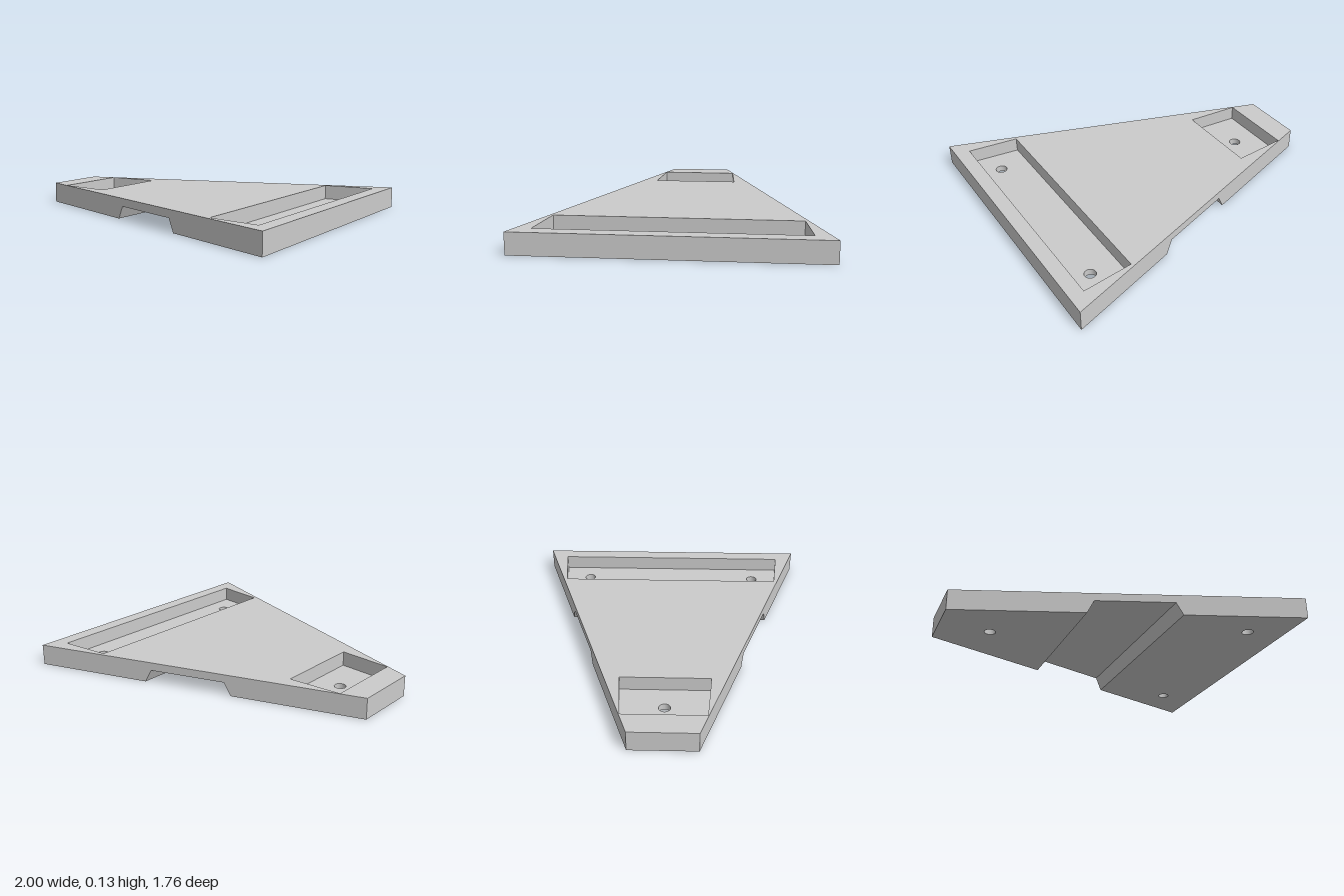
import * as THREE from 'three';

const TOP = 0.13, FLOOR = 0.04, HOLE_R = 0.035;
const half = x => 0.54 + 0.34 * x; // half width of the tapered plate at x

export function createModel() {
  const group = new THREE.Group();
  const material = new THREE.MeshStandardMaterial({ color: 0xcccccc, flatShading: true });

  const add = (name, geometry) => {
    const mesh = new THREE.Mesh(geometry, material);
    mesh.name = name;
    group.add(mesh);
  };

  // Band of quads between two rows of [x, y, z] points
  const strip = (name, a, b) => {
    const pos = [];
    for (let i = 0; i + 1 < a.length; i++) {
      pos.push(...a[i], ...a[i + 1], ...b[i + 1], ...a[i], ...b[i + 1], ...b[i]);
    }
    const g = new THREE.BufferGeometry();
    g.setAttribute('position', new THREE.Float32BufferAttribute(pos, 3));
    g.computeVertexNormals();
    add(name, g);
  };

  // Upright wall that faces into a closed outline of [x, z] points
  const innerWall = (name, outline, y0, y1) => {
    const loop = [...outline, outline[0]].reverse();
    strip(name, loop.map(([x, z]) => [x, y0, z]), loop.map(([x, z]) => [x, y1, z]));
  };

  // Level face with cut-outs, facing up or down
  const level = (name, outline, cuts, y, up) => {
    const vec = pts => pts.map(([x, z]) => new THREE.Vector2(x, -z));
    const shape = new THREE.Shape(vec(outline));
    shape.holes = cuts.map(c => new THREE.Path(vec(c)));
    const g = new THREE.ShapeGeometry(shape);
    g.rotateX(up ? -Math.PI / 2 : Math.PI / 2).translate(0, y, 0);
    add(name, g);
  };

  // Outlines run counterclockwise seen from above
  const taper = (x0, w0, x1, w1) => [[x0, w0], [x1, w1], [x1, -w1], [x0, -w0]];
  const plate = (x0, x1) => taper(x0, half(x0), x1, half(x1));
  const circle = (cx, cz) => Array.from({ length: 32 }, (_, i) => {
    const t = i / 32 * Math.PI * 2;
    return [cx + HOLE_R * Math.cos(t), cz - HOLE_R * Math.sin(t)];
  });

  const ends = [
    { name: 'narrow', pocket: taper(-0.85, 0.245, -0.52, 0.27), holes: [circle(-0.685, 0)], base: plate(-1, -0.23) },
    { name: 'wide', pocket: taper(0.595, 0.72, 0.91, 0.757), holes: [circle(0.775, -0.58), circle(0.775, 0.58)], base: plate(0.305, 1) },
  ];

  // Top face with the two pocket openings
  level('topFace', plate(-1, 1), ends.map(e => e.pocket), TOP, true);

  // Pockets, screw holes and feet at both ends
  for (const { name, pocket, holes, base } of ends) {
    innerWall(name + 'PocketWalls', pocket, FLOOR, TOP);
    level(name + 'PocketFloor', pocket, holes, FLOOR, true);
    level(name + 'FootUnderside', base, holes, 0, false);
    holes.forEach(h => innerWall(name + 'ScrewHole', h, 0, FLOOR));
  }

  // Long sides follow the underside profile with its sloped channel
  const profile = [[-1, 0], [-0.23, 0], [-0.19, 0.08], [0.265, 0.08], [0.305, 0], [1, 0]];
  const edge = (s, y) => profile.map(([x, py]) => [x, y ?? py, s * half(x)]);
  strip('frontSide', edge(1), edge(1, TOP));
  strip('backSide', edge(-1).reverse(), edge(-1, TOP).reverse());
  strip('channel', edge(-1).slice(1, 5), edge(1).slice(1, 5));

  // End faces
  for (const [name, x, s] of [['wideEnd', 1, 1], ['narrowEnd', -1, -1]]) {
    const w = s * half(x);
    strip(name, [[x, 0, w], [x, 0, -w]], [[x, TOP, w], [x, TOP, -w]]);
  }
  return group;
}
